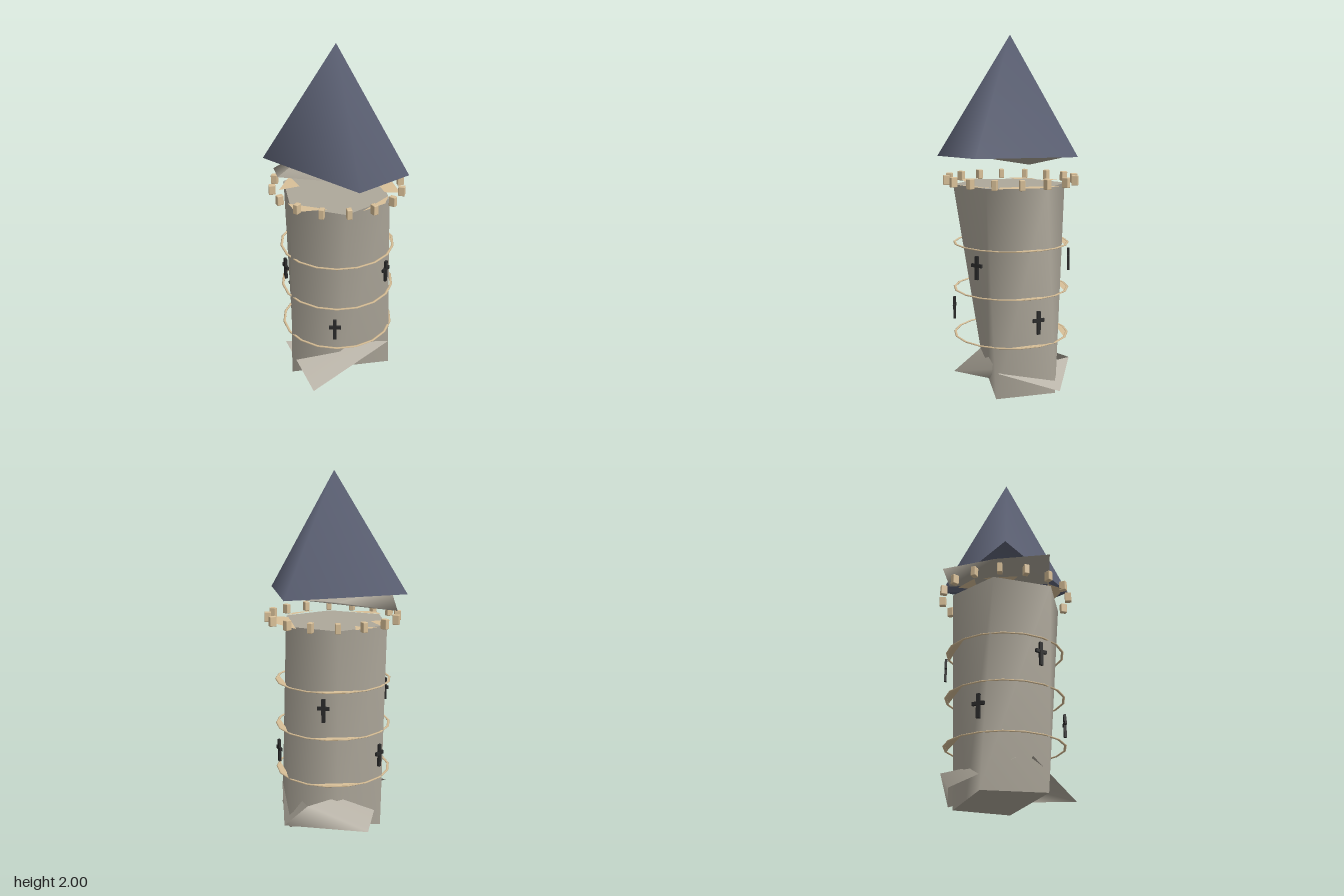
import * as THREE from 'three';
import { RoundedBoxGeometry } from 'three/addons/geometries/RoundedBoxGeometry.js';

const CX = 0.007, CZ = -0.02; // tower axis

export function createModel() {
  const model = new THREE.Group();
  model.name = 'tower';

  const mat = (name, color) => {
    const m = new THREE.MeshStandardMaterial({ color, side: THREE.DoubleSide });
    m.name = name;
    return m;
  };
  const stone = mat('stone', 0xaea89b);
  const trim = mat('sandstone trim', 0xd9c098);
  const slate = mat('slate roof', 0x5b6073);
  const dark = mat('dark slit', 0x2a2a2a);

  const add = (parent, name, geometry, material) => {
    const m = new THREE.Mesh(geometry, material);
    m.name = name;
    parent.add(m);
    return m;
  };

  // Small faceted surface from a few corners
  const facets = (points, index) => {
    const g = new THREE.BufferGeometry();
    g.setAttribute('position', new THREE.Float32BufferAttribute(points.flat(), 3));
    g.setIndex(index);
    g.computeVertexNormals();
    return g;
  };
  // Flat or bent polygon as a fan from its first corner
  const fan = (points) => {
    const index = [];
    for (let i = 1; i < points.length - 1; i++) index.push(0, i, i + 1);
    return facets(points, index);
  };
  // Point on a circle round the tower axis, angle from the front
  const around = (deg, r, y) => {
    const a = THREE.MathUtils.degToRad(deg);
    return [CX + r * Math.sin(a), y, CZ + r * Math.cos(a)];
  };

  // Tower wall: six-sided top narrowing towards a shallower base
  const top = [[0, 0.31], [0.27, 0.155], [0.275, -0.18], [0, -0.335], [-0.28, -0.18], [-0.28, 0.155]]
    .map(([x, z]) => [x, 1.17, z]);
  const bottom = [[0, 0.11], [0.31, 0.11], [0.27, -0.23], [0, -0.23], [-0.25, -0.23], [-0.295, 0.11]]
    .map(([x, z]) => [x, 0.01, z]);
  const wallIndex = [];
  for (let i = 0; i < 6; i++) {
    const j = (i + 1) % 6;
    wallIndex.push(i, j, j + 6, i, j + 6, i + 6);
  }
  add(model, 'wall', facets([...bottom, ...top], wallIndex), stone);
  add(model, 'wallTop', fan(top), stone);
  add(model, 'wallBottom', fan([...bottom].reverse()), stone);

  // Broken plinth slabs around the foot
  const plinth = new THREE.Group();
  plinth.name = 'plinth';
  model.add(plinth);
  const frontFoot = [-0.19, 0, 0.3], frontTop = [0.3, 0.18, 0.13];
  const backFoot = [0.3, 0.03, -0.25], backTop = [0.17, 0.18, -0.33];
  add(plinth, 'frontSlab',
    fan([frontFoot, [0.05, 0.03, 0.1], frontTop, [-0.32, 0.18, 0.02]]), stone);
  add(plinth, 'backSlab',
    fan([backTop, backFoot, [-0.165, 0.03, -0.365], [-0.28, 0.18, -0.05]]), stone);
  add(plinth, 'sideSlab', fan([backFoot, backTop, [0.31, 0.155, 0.1]]), stone);

  // Three trim bands, with flat slivers bridging the back and one side
  for (const y of [0.3, 0.57, 0.835]) {
    const g = new THREE.TorusGeometry(0.326, 0.008, 5, 18);
    g.rotateX(Math.PI / 2);
    g.scale(1, 0.5, 1);
    add(model, 'band', g, trim).position.set(CX, y, CZ);
    for (const [from, to] of [[75, 130], [150, 210]]) {
      const arc = [0, 1, 2, 3].map((k) => around(from + ((to - from) * k) / 3, 0.326, y));
      add(model, 'bandSliver', fan(arc), trim);
    }
  }

  // Cross-shaped slits in two rows of three
  for (const [y, start] of [[0.75, 47], [0.45, -12]]) {
    for (let k = 0; k < 3; k++) {
      const deg = start + k * 120;
      const slit = new THREE.Group();
      slit.name = 'crossSlit';
      add(slit, 'slitUpright', new THREE.BoxGeometry(0.02, 0.13, 0.014), dark).position.y = -0.013;
      add(slit, 'slitBar', new THREE.BoxGeometry(0.068, 0.019, 0.013), dark);
      slit.position.set(...around(deg, 0.331, y));
      slit.rotation.y = THREE.MathUtils.degToRad(deg);
      model.add(slit);
    }
  }

  // Ring of sixteen merlons
  for (let k = 0; k < 16; k++) {
    const m = add(model, 'merlon', new RoundedBoxGeometry(0.029, 0.056, 0.038, 1, 0.004), trim);
    m.position.set(...around(k * 22.5, 0.368, 1.196));
    m.rotation.y = (k * Math.PI) / 8;
  }

  // Remains of the walkway
  const ledge = (pts) => add(model, 'walkway', fan(pts.map(([x, z]) => [x, 1.175, z])), trim);
  ledge([[-0.29, 0.13], [-0.26, 0.24], [-0.09, 0.235]]);
  ledge([[0.09, 0.29], [0.23, 0.22], [0.27, 0.13]]);
  ledge([[0.345, 0.1], [0.33, -0.12], [0.22, -0.28], [0.26, 0.08]]);
  ledge([[-0.32, -0.05], [-0.24, -0.23], [-0.2, -0.08]]);
  ledge([[-0.22, -0.27], [-0.09, -0.33], [-0.1, -0.22]]);

  // Shallow stone collar under the roof
  const collar = [
    [-0.335, 1.25, -0.19], [-0.34, 1.335, 0.13], [-0.02, 1.335, 0.25],
    [0.2, 1.335, -0.31], [0.005, 1.335, -0.4], [-0.34, 1.335, 0.13],
  ];
  add(model, 'collar', fan(collar), stone);

  // Skewed four-sided roof with half of its underside closed
  const roof = [
    [0.05, 1.335, 0.4], [0.355, 1.335, 0.225], [0.285, 1.335, -0.34], [-0.395, 1.335, -0.15],
    [0, 2, -0.015],
  ];
  add(model, 'roof', facets(roof, [0, 1, 4, 1, 2, 4, 2, 3, 4, 3, 0, 4]), slate);
  add(model, 'roofUnderside', fan([roof[0], roof[2], roof[1]]), slate);

  return model;
}
